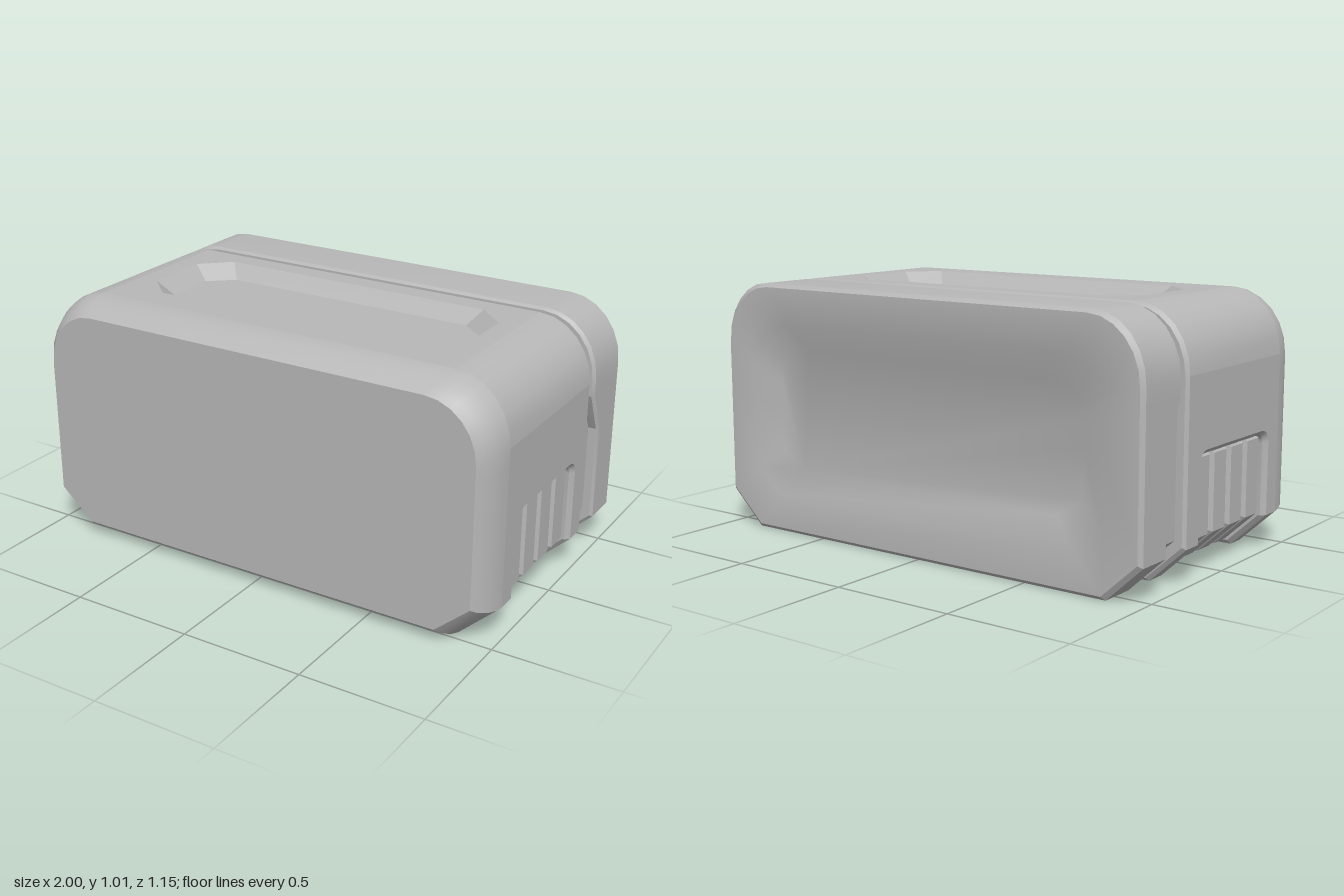
import * as THREE from 'three';
import { toCreasedNormals } from 'three/addons/utils/BufferGeometryUtils.js';

const V = (x, y, z) => new THREE.Vector3(x, y, z);

// Skin a list of equal-length rings; optional caps, open strips allowed.
function loft(rings, { closed = true, capStart = false, capEnd = false } = {}) {
  const n = rings[0].length, pos = [], idx = [];
  rings.forEach(r => r.forEach(p => pos.push(p.x, p.y, p.z)));
  for (let r = 0; r < rings.length - 1; r++) {
    for (let i = 0; i < (closed ? n : n - 1); i++) {
      const a = r * n + i, b = r * n + (i + 1) % n;
      idx.push(a, a + n, b, b, a + n, b + n);
    }
  }
  const e = (rings.length - 1) * n;
  for (let i = 1; i < n - 1; i++) {
    if (capStart) idx.push(0, i, i + 1);
    if (capEnd) idx.push(e, e + i + 1, e + i);
  }
  const g = new THREE.BufferGeometry();
  g.setAttribute('position', new THREE.Float32BufferAttribute(pos, 3));
  g.setIndex(idx);
  return toCreasedNormals(g, 0.45);
}

// Rounded shoulder, from the side wall to the flat top.
const shoulder = [];
for (let i = 0; i <= 6; i++) {
  const a = i / 6 * Math.PI / 2;
  shoulder.push([0.78 + 0.22 * Math.cos(a), 0.775 + 0.25 * Math.sin(a)]);
}
const half = [[0.85, 0.01], [1, 0.15], [1, 0.54], [1, 0.71], ...shoulder];
const outline = [...half, ...half.slice().reverse().map(([x, y]) => [-x, y])];

// Full housing section, drawn inwards by `inset`; z may depend on height.
const CY = 0.5175;
const section = (inset, z) => outline.map(([x, y]) =>
  V(x * (1 - inset), CY + (y - CY) * (1 - inset / 0.5075), typeof z === 'function' ? z(y) : z));

// Lower section with the chamfered bottom corners, cut off at `top`.
function lowerSection(inset, top, z) {
  const x = 1 - inset, y = 0.15 + 0.41 * inset, bx = 0.85 - 0.41 * inset, by = 0.01 + inset;
  return [[x, top], [-x, top], [-x, y], [-bx, by], [bx, by], [x, y]].map(p => V(p[0], p[1], z));
}

// Rounded arch of the side opening as [z, y], shrunk by k.
function arch(k) {
  const r = 0.055 - k, z0 = 0.355 - k, z1 = -0.185 + k, top = 0.493 - k, pts = [[z0, 0.15]];
  for (let i = 0; i <= 5; i++) {
    const a = i / 5 * Math.PI / 2;
    pts.push([z0 - r + r * Math.cos(a), top - r + r * Math.sin(a)]);
  }
  for (let i = 0; i <= 5; i++) {
    const a = Math.PI / 2 * (1 + i / 5);
    pts.push([z1 + r + r * Math.cos(a), top - r + r * Math.sin(a)]);
  }
  pts.push([z1, 0.15]);
  return pts;
}

// Octagon of the top recess as [x, -z].
function octagon(hx, hz, cx, cz) {
  return [[hx, -hz + cz], [hx, hz - cz], [hx - cx, hz], [-hx + cx, hz],
    [-hx, hz - cz], [-hx, -hz + cz], [-hx + cx, -hz], [hx - cx, -hz]].map(([x, y]) => [x, y - 0.063]);
}

export function createModel() {
  const grey = new THREE.MeshStandardMaterial({ color: 0xb8b8b8, side: THREE.DoubleSide });
  grey.name = 'housing grey';
  const black = new THREE.MeshStandardMaterial({ color: 0x141414 });
  black.name = 'pad black';

  const model = new THREE.Group();
  model.name = 'housing';
  const add = (name, geo, mat = grey, parent = model) => {
    const m = new THREE.Mesh(geo, mat);
    m.name = name;
    parent.add(m);
    return m;
  };
  const Z0 = 0.43, Z1 = -0.268; // straight part of the main body

  // Front shell, curving in to the flat front face
  add('frontShell', loft([section(0.057, 0.575), section(0.036, 0.55), section(0.015, 0.505),
    section(0.004, 0.465), section(0, Z0)], { capStart: true }));

  // Bevelled rear rim of the main body
  add('bodyRim', loft([section(0, Z1), section(0.012, -0.28), section(0.06, -0.28)]));

  // Top panel with its bevelled octagonal recess
  const rim = octagon(0.70, 0.245, 0.115, 0.11), floor = octagon(0.637, 0.192, 0.10, 0.085);
  const panel = new THREE.Shape([[-0.78, -Z0], [0.78, -Z0], [0.78, -Z1], [-0.78, -Z1]].map(p => new THREE.Vector2(...p)));
  panel.holes.push(new THREE.Path(rim.map(p => new THREE.Vector2(...p))));
  add('topPanel', new THREE.ShapeGeometry(panel).rotateX(-Math.PI / 2).translate(0, 1.025, 0));
  add('topRecess', loft([floor.map(([x, y]) => V(x, y, 0.968)), rim.map(([x, y]) => V(x, y, 1.025))],
    { capStart: true }).rotateX(-Math.PI / 2));

  // Sides: shoulder, wall with the arched opening, and the arch edge
  const wall = new THREE.Shape([[-Z0, 0.15], ...arch(0).map(([z, y]) => [-z, y]),
    [-Z1, 0.15], [-Z1, 0.775], [-Z0, 0.775]].map(p => new THREE.Vector2(...p)));
  const wallGeo = new THREE.ShapeGeometry(wall).rotateY(Math.PI / 2).translate(1, 0, 0);
  const shoulderGeo = loft([Z0, Z1].map(z => shoulder.map(([x, y]) => V(x, y, z))), { closed: false });
  const archGeo = loft([[0, 1], [0.018, 0.982], [0.018, 0.945]].map(([k, x]) =>
    arch(k).map(([z, y]) => V(x, y, z))), { closed: false });
  for (const [name, s] of [['left', 1], ['right', -1]]) {
    const side = new THREE.Group();
    side.name = name + 'Side';
    side.scale.x = s;
    add('shoulder', shoulderGeo, grey, side);
    add('sideWall', wallGeo, grey, side);
    add('archEdge', archGeo, grey, side);
    model.add(side);
  }

  // Bottom bands in front of and behind the ribs
  add('frontBand', loft([lowerSection(0, 0.16, Z0), lowerSection(0, 0.16, 0.355),
    lowerSection(0.018, 0.16, 0.337)], { capEnd: true }));
  add('rearBand', loft([lowerSection(0.018, 0.16, -0.167), lowerSection(0, 0.16, -0.185),
    lowerSection(0, 0.16, Z1)], { capStart: true }));

  // Recessed cores seen between the ribs and in the seam
  add('ribCore', loft([lowerSection(0.047, 0.55, 0.42), lowerSection(0.047, 0.55, -0.25)]));
  add('seamCore', loft([section(0.042, -0.25), section(0.042, -0.45)]));

  // Four bevelled ribs wrapping under the body, with dark pads underneath
  for (let i = 0; i < 4; i++) {
    const z = 0.278 - i * 0.129;
    add('rib', loft([[0.06, 0.048, 0.478], [0.045, 0.027, 0.46], [-0.045, 0.027, 0.46], [-0.06, 0.048, 0.478]]
      .map(([dz, inset, top]) => lowerSection(inset, top, z + dz))));
    for (const [x, w] of [[0.68, 0.09], [-0.36, 0.19], [-0.78, 0.09]]) {
      add('pad', new THREE.BoxGeometry(w, 0.004, 0.07).translate(x, 0.036, z), black);
    }
  }

  // Rear cover: stepped front edge on the sides, recessed back face
  const edge = d => y => THREE.MathUtils.clamp(THREE.MathUtils.mapLinear(y, 0.54, 0.71, -0.4, -0.32), -0.4, -0.32) - d;
  add('rearCover', loft([section(0.06, edge(0)), section(0.01, edge(0)), section(0, edge(0.012)),
    section(0, -0.56), section(0.015, -0.575), section(0.16, -0.575), section(0.265, -0.53)], { capEnd: true }));

  return model;
}
